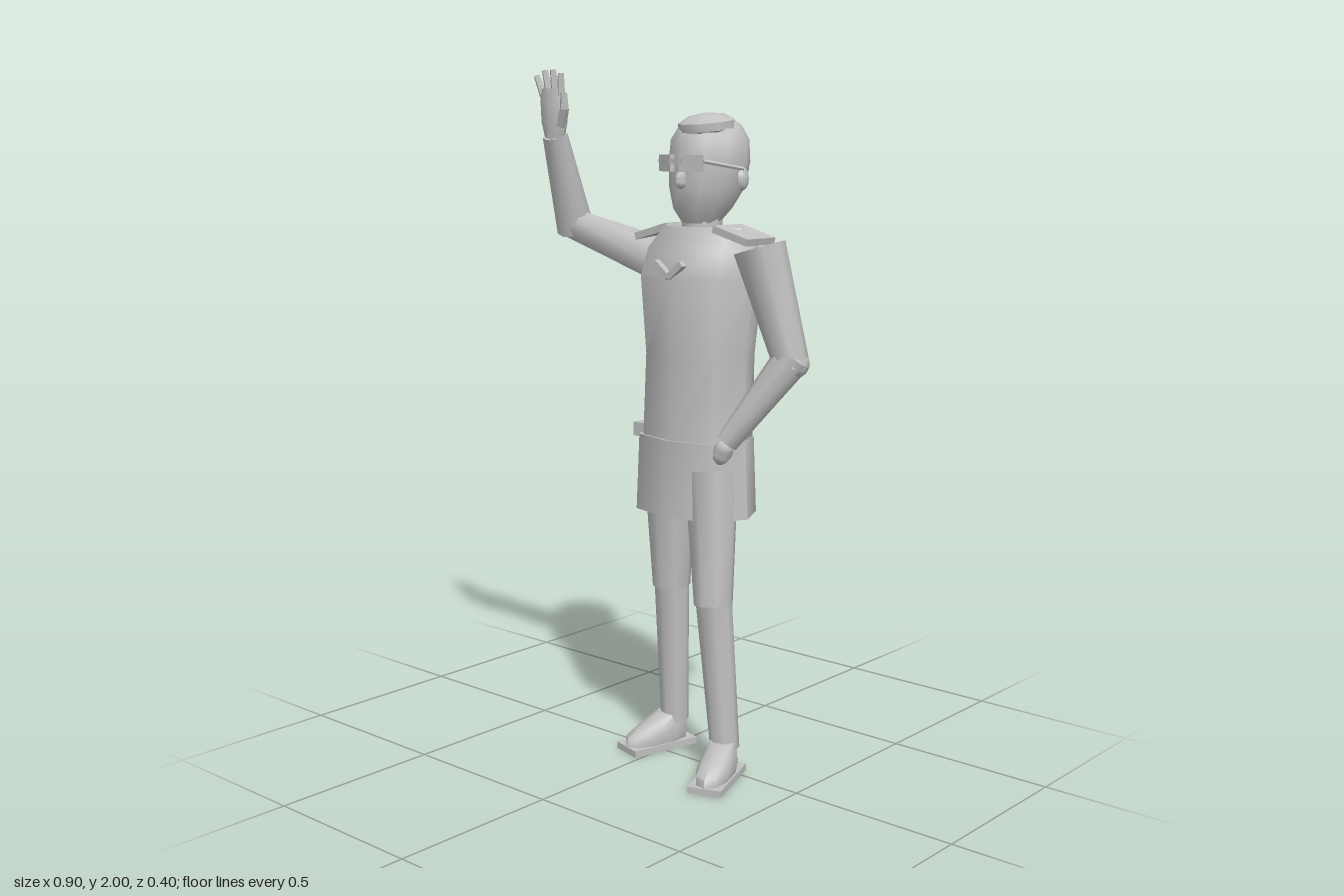
import * as THREE from 'three';
import { toCreasedNormals } from 'three/addons/utils/BufferGeometryUtils.js';

const grey = new THREE.MeshStandardMaterial({ color: 0xc0c0c0, side: THREE.DoubleSide });
grey.name = 'plain grey';
const V = (a) => new THREE.Vector3(...a);

export function createModel() {
  const model = new THREE.Group();
  model.name = 'wavingFigure';

  const add = (name, geometry, parent = model) => {
    const mesh = new THREE.Mesh(toCreasedNormals(geometry, 0.9), grey);
    mesh.name = name;
    parent.add(mesh);
    return mesh;
  };

  // Stack of rounded cross-sections: rows of [y, centreX, centreZ, radiusX, radiusZ], bottom to top
  const loft = (rows, sides = 8, power = 1) => {
    const pos = [], index = [];
    const round = (v) => Math.sign(v) * Math.abs(v) ** power;
    for (const [y, cx, cz, rx, rz] of rows) {
      for (let i = 0; i < sides; i++) {
        const a = (i / sides) * Math.PI * 2;
        pos.push(cx + rx * round(Math.sin(a)), y, cz + rz * round(Math.cos(a)));
      }
    }
    for (let r = 0; r < rows.length - 1; r++) {
      for (let i = 0; i < sides; i++) {
        const a = r * sides + i, b = r * sides + (i + 1) % sides;
        index.push(a, b, b + sides, a, b + sides, a + sides);
      }
    }
    const top = (rows.length - 1) * sides;
    for (let i = 1; i < sides - 1; i++) index.push(0, i + 1, i, top, top + i, top + i + 1);
    const g = new THREE.BufferGeometry();
    g.setAttribute('position', new THREE.Float32BufferAttribute(pos, 3));
    g.setIndex(index);
    g.computeVertexNormals();
    return g;
  };

  // Tapered tube between two points
  const limb = (name, from, to, r0, r1, sides = 8, parent = model) => {
    const a = V(from), d = V(to).sub(a);
    const mesh = add(name, new THREE.CylinderGeometry(r1, r0, d.length(), sides), parent);
    mesh.position.copy(a).addScaledVector(d, 0.5);
    mesh.quaternion.setFromUnitVectors(new THREE.Vector3(0, 1, 0), d.normalize());
    return mesh;
  };
  const blob = (name, at, radii, parent = model, w = 10, h = 7) => {
    const mesh = add(name, new THREE.SphereGeometry(1, w, h).scale(...radii), parent);
    mesh.position.set(...at);
    return mesh;
  };
  const box = (name, at, size, parent = model) => {
    const mesh = add(name, new THREE.BoxGeometry(...size), parent);
    mesh.position.set(...at);
    return mesh;
  };

  // Jacket, skirt and neck
  add('jacket', loft([
    [0.95, 0.1, -0.04, 0.172, 0.122], [1.2, 0.1, -0.05, 0.165, 0.125],
    [1.42, 0.096, -0.06, 0.192, 0.133], [1.5, 0.1, -0.065, 0.18, 0.115],
    [1.56, 0.105, -0.06, 0.135, 0.075],
  ], 8, 0.85));
  add('skirt', loft([
    [0.745, 0.095, -0.04, 0.19, 0.134], [0.965, 0.095, -0.04, 0.18, 0.128],
  ], 8, 0.85));
  limb('neck', [0.105, 1.53, -0.05], [0.105, 1.63, -0.05], 0.058, 0.055);
  box('sideTab', [-0.06, 0.97, 0.0], [0.06, 0.04, 0.05]);
  box('backTab', [-0.06, 0.965, -0.1], [0.06, 0.04, 0.04]);

  // Chest chevron
  for (const s of [-1, 1]) {
    const bar = box('chevronBar', [0.087 + s * 0.025, 1.443, 0.07], [0.064, 0.018, 0.02]);
    bar.rotation.z = s * 0.68;
  }

  // Shoulder boards
  const boards = [['rightShoulderBoard', [-0.06, 1.541, -0.08], 0.27],
    ['leftShoulderBoard', [0.25, 1.541, -0.055], -0.27]];
  for (const [name, at, tilt] of boards) box(name, at, [0.125, 0.02, 0.125]).rotation.z = tilt;

  // Head, with its own centre at the middle of the skull
  const head = new THREE.Group();
  head.name = 'head';
  head.position.set(0.107, 0, -0.07);
  head.rotation.y = -0.08;
  model.add(head);
  add('skull', loft([
    [1.57, 0, 0.025, 0.05, 0.055], [1.61, 0, 0.018, 0.078, 0.088],
    [1.67, 0, 0, 0.104, 0.112], [1.74, 0, -0.008, 0.116, 0.116],
    [1.8, 0, -0.01, 0.11, 0.112], [1.84, 0, -0.012, 0.085, 0.09],
    [1.865, 0, -0.012, 0.045, 0.05],
  ], 10), head);
  const hair = blob('hair', [0.012, 1.838, 0.015], [0.084, 0.036, 0.085], head, 9, 5);
  hair.rotation.x = 0.12;
  blob('nose', [0.008, 1.69, 0.112], [0.016, 0.025, 0.022], head, 8, 5);
  box('glassesBridge', [0.006, 1.742, 0.128], [0.05, 0.014, 0.012], head);
  for (const s of [-1, 1]) {
    const lens = box('lens', [0.006 + s * 0.048, 1.736, 0.118], [0.068, 0.046, 0.014], head);
    lens.rotation.y = s * 0.3;
    limb('glassesArm', [s * 0.085, 1.742, 0.105], [s * 0.119, 1.72, -0.02], 0.006, 0.006, 5, head);
    blob('ear', [s * 0.115, 1.693, -0.022], [0.012, 0.032, 0.022], head, 8, 6);
  }

  // Raised right arm
  limb('rightUpperArm', [-0.03, 1.445, -0.073], [-0.42, 1.553, -0.05], 0.07, 0.046);
  blob('rightElbow', [-0.395, 1.555, -0.05], [0.05, 0.045, 0.05]);
  limb('rightForearm', [-0.395, 1.53, -0.055], [-0.376, 1.81, 0.048], 0.056, 0.037);

  // Open right hand
  const hand = new THREE.Group();
  hand.name = 'rightHand';
  model.add(hand);
  add('palm', loft([
    [1.8, -0.375, 0.05, 0.032, 0.024], [1.85, -0.374, 0.052, 0.05, 0.026],
    [1.91, -0.376, 0.056, 0.052, 0.02], [1.945, -0.378, 0.057, 0.044, 0.015],
  ]), hand);
  const tips = [[-0.437, 1.982], [-0.403, 1.997], [-0.37, 1.998], [-0.338, 1.988]];
  tips.forEach(([x, y], i) =>
    limb('finger', [-0.412 + i * 0.024, 1.925, 0.057], [x, y, 0.06], 0.012, 0.009, 6, hand));
  limb('thumb', [-0.345, 1.84, 0.055], [-0.316, 1.89, 0.067], 0.017, 0.013, 6, hand);
  limb('thumbTip', [-0.318, 1.885, 0.067], [-0.317, 1.932, 0.07], 0.013, 0.01, 6, hand);

  // Bent left arm, hand at the hip
  limb('leftUpperArm', [0.31, 1.51, -0.05], [0.402, 1.18, -0.085], 0.073, 0.049);
  blob('leftElbow', [0.4, 1.195, -0.085], [0.048, 0.045, 0.05]);
  limb('leftForearm', [0.405, 1.215, -0.085], [0.255, 0.97, 0.018], 0.053, 0.032);
  const fist = blob('leftHand', [0.25, 0.945, 0.03], [0.028, 0.04, 0.028]);
  fist.rotation.z = -0.45;

  // Legs: hip, knee, ankle, then sole centre and turn-out
  const legs = [
    ['left', [0.185, 0.88, 0.0], [0.222, 0.5, 0.033], [0.257, 0.08, 0.02], [0.28, 0.083], 0.35],
    ['right', [0.0, 0.88, -0.035], [-0.007, 0.5, -0.05], [-0.008, 0.08, -0.067], [-0.031, -0.012], -0.26],
  ];
  for (const [side, hip, knee, ankle, [sx, sz], turn] of legs) {
    limb(side + 'Thigh', hip, knee, 0.078, 0.056);
    limb(side + 'Shin', [knee[0], knee[1] + 0.03, knee[2]], ankle, 0.052, 0.042);
    const foot = new THREE.Group();
    foot.name = side + 'Foot';
    foot.position.set(sx, 0, sz);
    foot.rotation.y = turn;
    model.add(foot);
    box('sole', [0, 0.012, 0], [0.1, 0.02, 0.22], foot);
    add('shoe', loft([
      [0.02, 0, 0.005, 0.046, 0.104], [0.045, 0, 0.0, 0.05, 0.104],
      [0.07, 0, -0.018, 0.046, 0.08], [0.105, 0, -0.05, 0.036, 0.042],
    ], 10, 0.85), foot);
  }
  return model;
}
